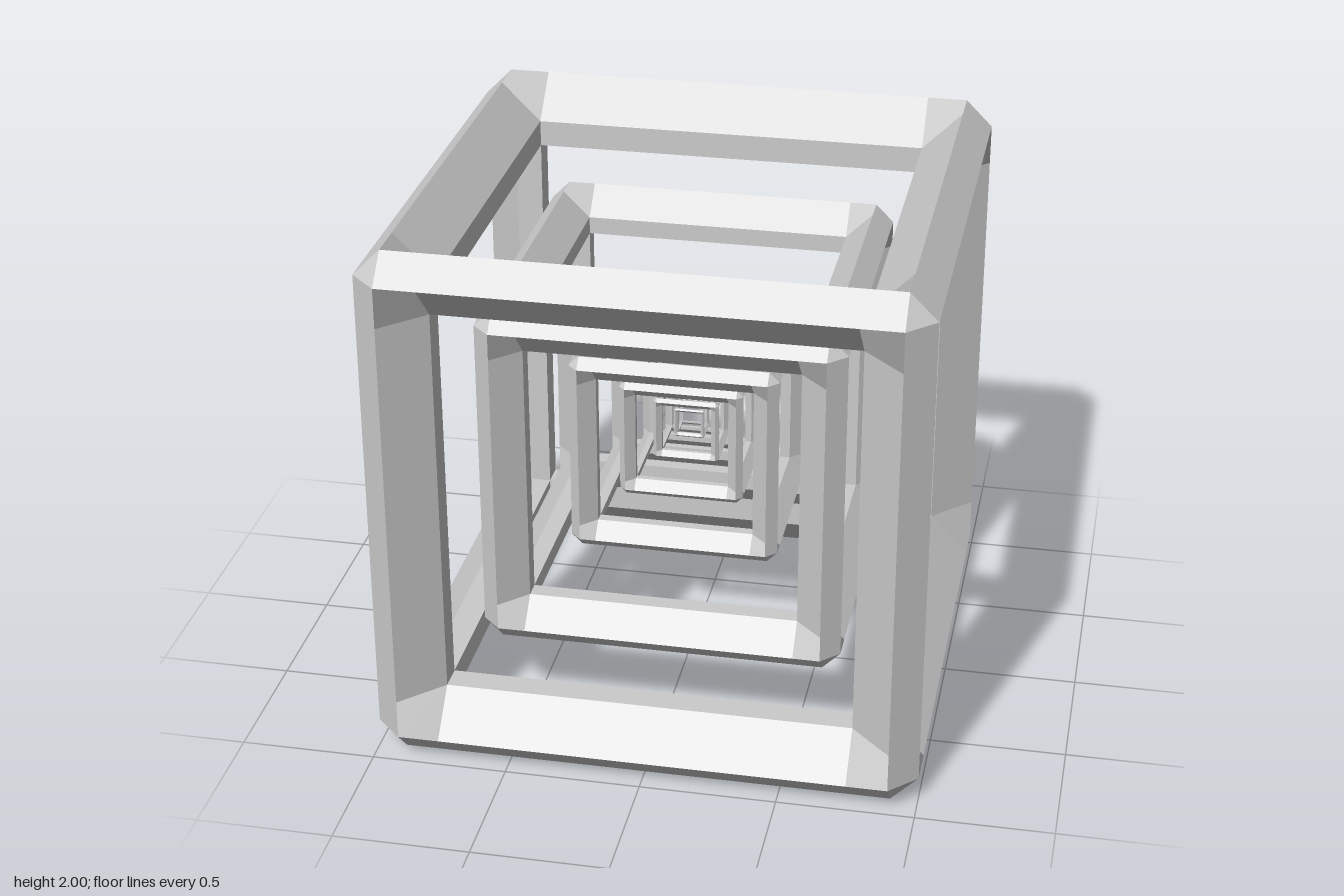
import * as THREE from 'three';

// Half-size, chamfer ridge, inner lip and opening of a unit cube frame
const OUT = 1, RIDGE = 0.9, LIP = 0.85, HOLE = 0.75;
const SIGNS = [-1, 1];

// One open cube frame: five-sided bars with chamfered outer edges and corners
function cubeFrameGeometry() {
  const pos = [], nor = [];

  // Adds a triangle or quad with one flat normal, turned to face along ref
  function addFace(points, ref) {
    let p = points;
    const last = p[p.length - 1];
    const n = p.length === 4
      ? p[2].clone().sub(p[0]).cross(p[3].clone().sub(p[1]))
      : p[1].clone().sub(p[0]).cross(last.clone().sub(p[0]));
    n.normalize();
    if (n.dot(ref) < 0) {
      p = [p[0], ...p.slice(1).reverse()];
      n.negate();
    }
    for (let i = 1; i < p.length - 1; i++) {
      for (const v of [p[0], p[i], p[i + 1]]) {
        pos.push(v.x, v.y, v.z);
        nor.push(n.x, n.y, n.z);
      }
    }
  }

  for (let axis = 0; axis < 3; axis++) {
    // Point from coordinates along this axis and the two that follow it
    const at = (a, b, c) => {
      const v = new THREE.Vector3();
      v.setComponent(axis, a);
      v.setComponent((axis + 1) % 3, b);
      v.setComponent((axis + 2) % 3, c);
      return v;
    };

    for (const s of SIGNS) {
      const ref = at(s, 0, 0);
      for (const t of SIGNS) {
        for (const place of [(a, b, c) => at(a, b, c), (a, b, c) => at(a, c, b)]) {
          // Sloping sides of the bars around this cube face
          addFace([
            place(s * OUT, t * RIDGE, -HOLE), place(s * OUT, t * RIDGE, HOLE),
            place(s * LIP, t * HOLE, HOLE), place(s * LIP, t * HOLE, -HOLE),
          ], ref);
          // Flat inner sides of the same bars, lining the opening
          addFace([
            place(s * LIP, t * HOLE, -HOLE), place(s * LIP, t * HOLE, HOLE),
            place(s * HOLE, t * HOLE, HOLE), place(s * HOLE, t * HOLE, -HOLE),
          ], place(0, -t, 0));
        }
        // Joints in the corners of this cube face
        for (const u of SIGNS) {
          addFace([
            at(s * OUT, t * RIDGE, u * RIDGE), at(s * OUT, t * HOLE, u * RIDGE),
            at(s * LIP, t * HOLE, u * HOLE), at(s * OUT, t * RIDGE, u * HOLE),
          ], ref);
        }
        // Outer chamfer of the bar running along this axis
        addFace([
          at(-RIDGE, s * OUT, t * RIDGE), at(RIDGE, s * OUT, t * RIDGE),
          at(RIDGE, s * RIDGE, t * OUT), at(-RIDGE, s * RIDGE, t * OUT),
        ], at(0, s, t));
      }
    }
  }

  // Small triangles on the eight outer corners
  for (const x of SIGNS) for (const y of SIGNS) for (const z of SIGNS) {
    addFace([
      new THREE.Vector3(x * OUT, y * RIDGE, z * RIDGE),
      new THREE.Vector3(x * RIDGE, y * OUT, z * RIDGE),
      new THREE.Vector3(x * RIDGE, y * RIDGE, z * OUT),
    ], new THREE.Vector3(x, y, z));
  }

  const geometry = new THREE.BufferGeometry();
  geometry.setAttribute('position', new THREE.Float32BufferAttribute(pos, 3));
  geometry.setAttribute('normal', new THREE.Float32BufferAttribute(nor, 3));
  return geometry;
}

export function createModel() {
  const group = new THREE.Group();
  group.name = 'nestedCubeFrames';
  const geometry = cubeFrameGeometry();
  const material = new THREE.MeshStandardMaterial({ color: 0xcccccc });

  // Frames shrink toward the shared centre
  [1, 0.667, 0.389, 0.233, 0.1244, 0.0577].forEach((size, i) => {
    const frame = new THREE.Mesh(geometry, material);
    frame.name = `cubeFrame${i + 1}`;
    frame.scale.setScalar(size);
    frame.position.y = 1;
    group.add(frame);
  });
  return group;
}
